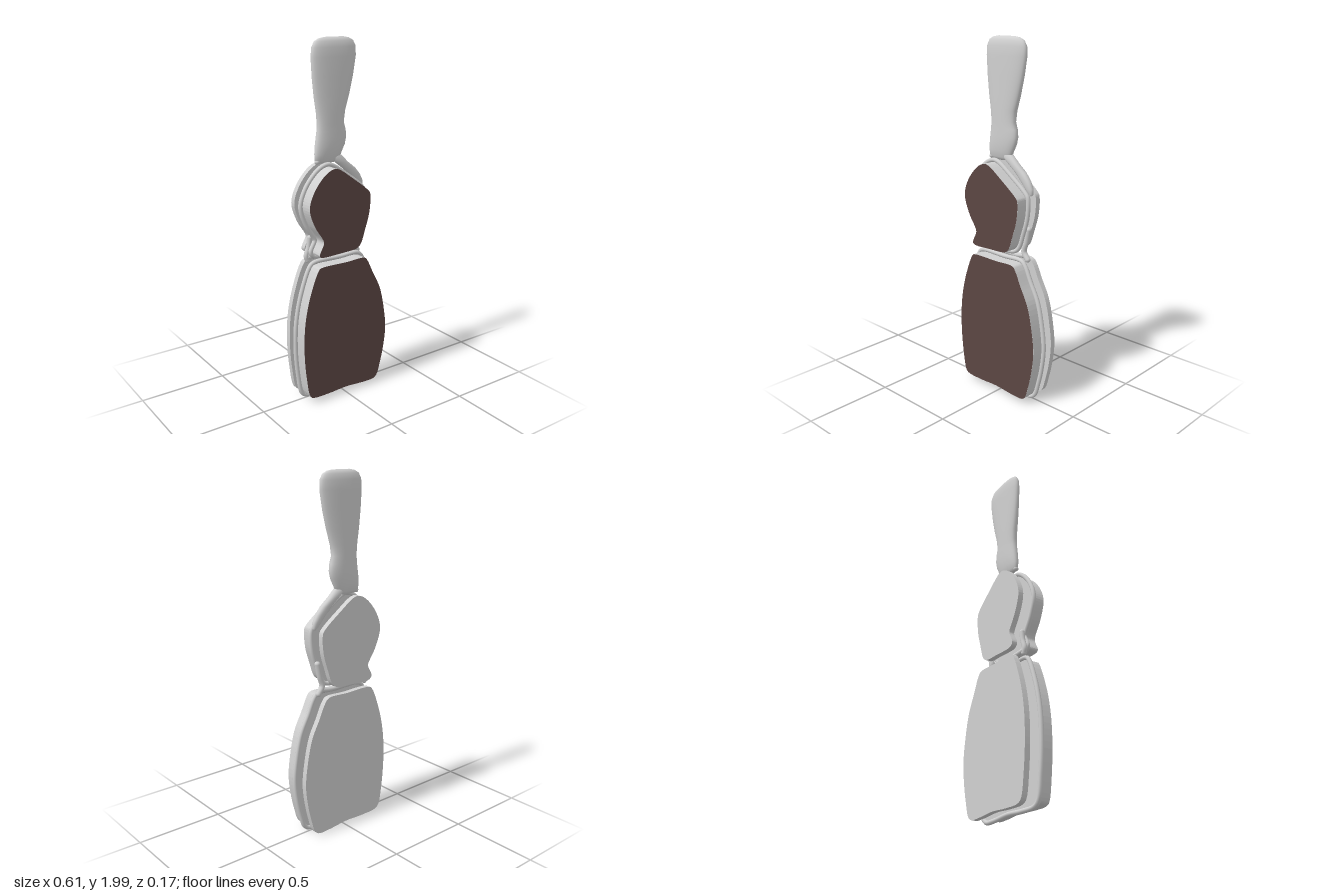
import * as THREE from 'three';

const grey = new THREE.MeshStandardMaterial({ color: 0xd0d0d0 });
grey.name = 'pale grey';
const brown = new THREE.MeshStandardMaterial({ color: 0x5c4643 });
brown.name = 'dark brown';

// Outlines of the two panels, clockwise from the upper left
const LOWER = [[-0.18, 0.795], [-0.165, 0.803], [0, 0.803], [0.125, 0.803], [0.143, 0.785], [0.185, 0.70], [0.235, 0.60],
  [0.268, 0.46], [0.281, 0.34], [0.268, 0.22], [0.245, 0.12], [0.222, 0.05], [0.2, 0.032], [0.13, 0.03], [0, 0.04],
  [-0.12, 0.035], [-0.225, 0.04], [-0.245, 0.055], [-0.268, 0.17], [-0.281, 0.34], [-0.273, 0.5], [-0.24, 0.65]];
const UPPER = [[-0.205, 1.23], [-0.135, 1.31], [-0.085, 1.334], [-0.055, 1.331], [0.045, 1.265], [0.145, 1.187], [0.157, 1.17],
  [0.154, 1.07], [0.125, 0.97], [0.095, 0.89], [0.07, 0.87], [-0.04, 0.862], [-0.165, 0.862], [-0.176, 0.873],
  [-0.149, 0.935], [-0.152, 0.955], [-0.205, 1.04], [-0.236, 1.14]];

const v3 = (p, z = 0) => new THREE.Vector3(p[0], p[1], z);

// Pushes a clockwise outline outwards by d along its smoothed normals
function offset(points, d) {
  return points.map((p, i) => {
    const a = points[(i + points.length - 1) % points.length];
    const b = points[(i + 1) % points.length];
    const tx = b[0] - a[0], ty = b[1] - a[1], l = Math.hypot(tx, ty);
    return [p[0] - (ty / l) * d, p[1] + (tx / l) * d];
  });
}

const closedCurve = (points, z = 0) => new THREE.CatmullRomCurve3(points.map((p) => v3(p, z)), true, 'centripetal');

function outlineShape(points) {
  const pts = closedCurve(points).getPoints(110).slice(0, -1);
  return new THREE.Shape(pts.map((p) => new THREE.Vector2(p.x, p.y)));
}

function add(group, name, geometry, material) {
  const mesh = new THREE.Mesh(geometry, material);
  mesh.name = name;
  group.add(mesh);
  return mesh;
}

function slab(group, name, points, z0, z1) {
  const geometry = new THREE.ExtrudeGeometry(outlineShape(points), { depth: z1 - z0, bevelEnabled: false });
  add(group, name, geometry, grey).position.z = z0;
}

// Front slab with a brown face, rounded rim, and separate backing plate
function panel(name, points) {
  const group = new THREE.Group();
  group.name = name;
  slab(group, 'frontSlab', points, 0.01, 0.083);
  add(group, 'frontFace', new THREE.ShapeGeometry(outlineShape(points)), brown).position.z = 0.0838;
  const rimCurve = closedCurve(offset(points, 0.011), 0.01);
  add(group, 'rim', new THREE.TubeGeometry(rimCurve, 180, 0.0125, 10, true), grey);
  slab(group, 'backPlate', offset(points, 0.008), -0.086, -0.055);
  return group;
}

// Loft of elliptical rings along y; each ring is [y, left, right, halfDepth]
function loft(rings, z, sides = 32) {
  const position = [], index = [];
  rings.forEach(([y, left, right, depth], r) => {
    for (let i = 0; i < sides; i++) {
      const a = (i / sides) * Math.PI * 2, c = Math.cos(a), s = Math.sin(a);
      const x = Math.sign(c) * Math.abs(c) ** 0.85;
      const d = Math.sign(s) * Math.abs(s) ** 0.85;
      position.push((left + right) / 2 + ((right - left) / 2) * x, y, z + depth * d);
      if (r === 0) continue;
      const j = (i + 1) % sides, lo = (r - 1) * sides, hi = r * sides;
      index.push(lo + i, hi + i, lo + j, lo + j, hi + i, hi + j);
    }
  });
  const geometry = new THREE.BufferGeometry();
  geometry.setAttribute('position', new THREE.Float32BufferAttribute(position, 3));
  geometry.setIndex(index);
  geometry.computeVertexNormals();
  return geometry;
}

// Round-ended rod through points at the handle's depth
function rod(group, name, points, radius, z = -0.018) {
  const pts = points.map((p) => v3(p, z));
  const part = new THREE.Group();
  part.name = name;
  add(part, 'shaft', new THREE.TubeGeometry(new THREE.CatmullRomCurve3(pts), 20, radius, 10), grey);
  for (const p of [pts[0], pts[pts.length - 1]]) {
    add(part, 'end', new THREE.SphereGeometry(radius, 12, 8), grey).position.copy(p);
  }
  group.add(part);
}

export function createModel() {
  const model = new THREE.Group();
  model.name = 'model';
  model.add(panel('lowerPanel', LOWER), panel('upperPanel', UPPER));

  // Flattened handle with a waist and a swollen foot
  const handleRings = [[1.345, -0.06, -0.05, 0.001], [1.35, -0.115, 0.0, 0.012], [1.365, -0.134, 0.022, 0.021],
    [1.40, -0.135, 0.035, 0.028], [1.44, -0.132, 0.055, 0.032], [1.48, -0.126, 0.064, 0.033], [1.52, -0.12, 0.06, 0.033],
    [1.56, -0.117, 0.047, 0.033], [1.62, -0.122, 0.056, 0.034], [1.70, -0.135, 0.082, 0.034], [1.80, -0.146, 0.107, 0.034],
    [1.90, -0.152, 0.125, 0.034], [1.95, -0.148, 0.124, 0.032], [1.98, -0.132, 0.108, 0.025], [1.994, -0.105, 0.08, 0.014],
    [2.0, -0.07, 0.045, 0.001]];
  add(model, 'handle', loft(handleRings, -0.019), grey);

  // Tapering arm from the handle's foot down the right shoulder
  const armRings = [[1.18, 0.164, 0.168, 0.002], [1.19, 0.15, 0.178, 0.012], [1.22, 0.125, 0.178, 0.017], [1.26, 0.09, 0.158, 0.02],
    [1.30, 0.05, 0.125, 0.021], [1.34, 0.0, 0.075, 0.022], [1.38, -0.05, 0.035, 0.02], [1.40, -0.02, 0.01, 0.002]];
  add(model, 'shoulderArm', loft(armRings, -0.018, 20), grey);
  rod(model, 'shoulderNub', [[-0.122, 1.36], [-0.10, 1.37]], 0.014);

  // Links joining the two panels
  rod(model, 'leftLink', [[-0.175, 0.95], [-0.182, 0.9], [-0.198, 0.85], [-0.19, 0.825]], 0.014);
  rod(model, 'rightLink', [[0.15, 0.99], [0.135, 0.92], [0.118, 0.86], [0.145, 0.82]], 0.016);
  rod(model, 'crossLink', [[-0.19, 0.84], [-0.05, 0.834], [0.06, 0.83], [0.13, 0.84]], 0.014);
  return model;
}
